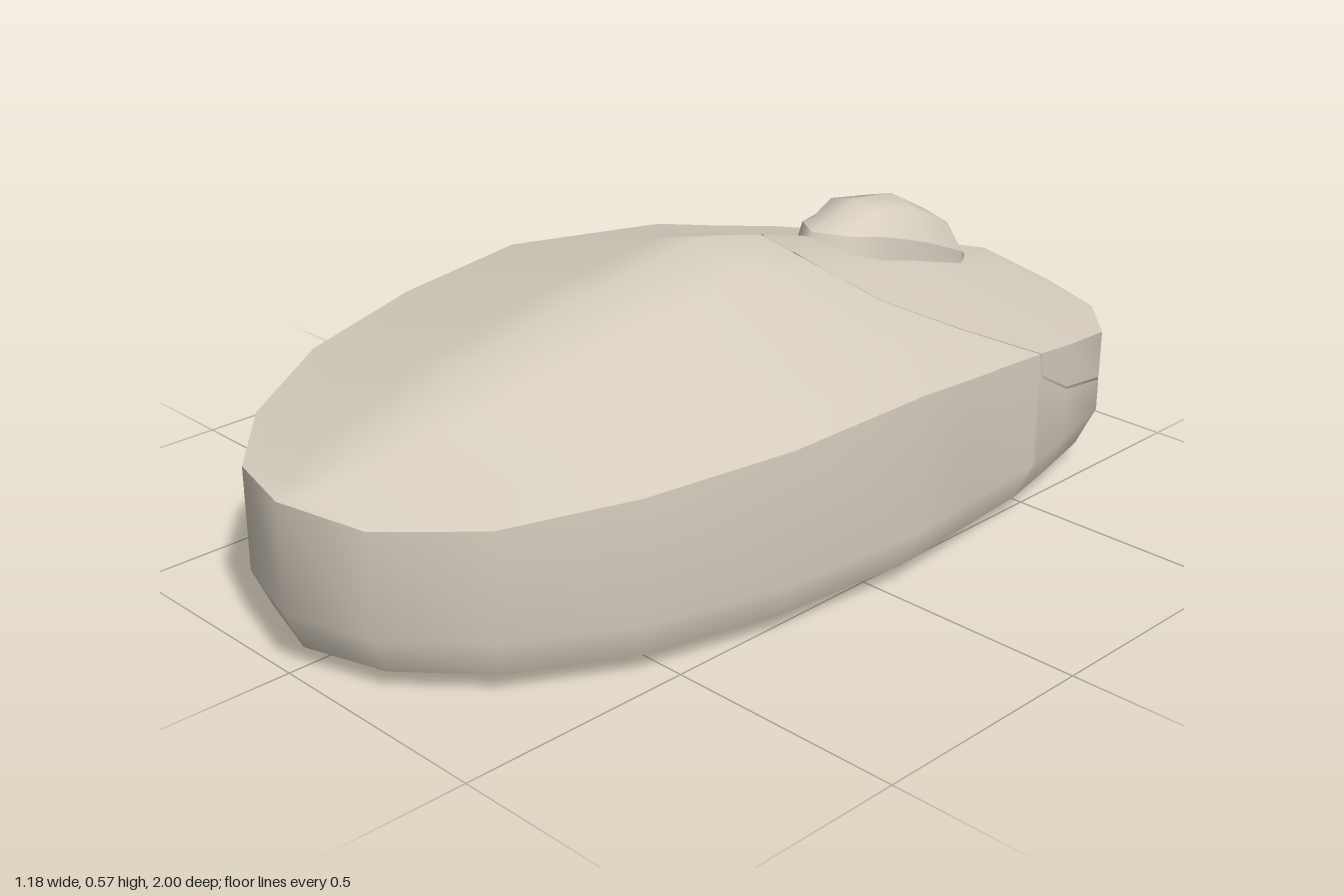
import * as THREE from 'three';
import { mergeVertices } from 'three/addons/utils/BufferGeometryUtils.js';

// Stations along the body: z, half width, rim height, ridge height, side seam height
const S = [
  [1, 0, 0.345, 0.345], [0.945, 0.185, 0.333, 0.362], [0.8, 0.35, 0.342, 0.405],
  [0.57, 0.48, 0.37, 0.475], [0.27, 0.56, 0.39, 0.535], [-0.05, 0.59, 0.408, 0.575],
  [-0.23, 0.576, 0.388, 0.535], [-0.455, 0.557, 0.365, 0.47],
  [-0.461, 0.556, 0.364, 0.469, 0.345], [-0.475, 0.553, 0.362, 0.466, 0.305],
  [-0.6, 0.525, 0.335, 0.43, 0.235], [-0.78, 0.48, 0.3, 0.375, 0.19],
  [-0.925, 0.35, 0.284, 0.333, 0.18], [-0.985, 0.185, 0.286, 0.316, 0.177],
  [-1, 0, 0.305, 0.305, 0.175],
];
const GAP = 0.006;
const ACROSS = [-1, -0.75, -0.5, -0.25, 0, 0.25, 0.5, 0.75, 1];
const lerp = THREE.MathUtils.lerp;

// Smooth surface through rows of [x, y, z] points
function grid(rows) {
  const n = rows[0].length, index = [];
  for (let i = 0; i < rows.length - 1; i++) {
    for (let j = 0; j < n - 1; j++) {
      const a = i * n + j, c = a + n;
      index.push(a, a + 1, c, a + 1, c + 1, c);
    }
  }
  let g = new THREE.BufferGeometry();
  g.setAttribute('position', new THREE.Float32BufferAttribute(rows.flat(2), 3));
  g.setIndex(index);
  g = mergeVertices(g, 1e-4);
  g.computeVertexNormals();
  return g;
}

// Point on the peaked top, u from -1 to 1 across the width
function topPoint(u, z) {
  let i = 0;
  while (i < S.length - 2 && S[i + 1][0] > z) i++;
  const a = S[i], b = S[i + 1], t = (z - a[0]) / (b[0] - a[0]);
  const rim = lerp(a[2], b[2], t), ridge = lerp(a[3], b[3], t);
  return [u * lerp(a[1], b[1], t), lerp(ridge, rim, Math.abs(u)), z];
}
const topRow = (z) => ACROSS.map((u) => topPoint(u, z));

// Curved seam between the palm rest and the button panel
function seamRow(offset) {
  return ACROSS.map((u) => {
    const k = Math.abs(u);
    const z = k < 0.5 ? lerp(-0.225, -0.28, k * 2) : lerp(-0.28, -0.455, k * 2 - 1);
    return topPoint(u, z - offset);
  });
}

// Outline stations running round the body, each tagged with its side
const LOOP = [
  ...S.map((s) => [s, 1]),
  ...S.slice(0, -1).reverse().map((s) => [s, -1]),
];
const ring = (sx, sz, height) => LOOP.map(([s, m]) => [m * s[1] * sx, height(s), s[0] * sz]);
const inset = (d, y) => ring(1 - d / 0.59, 1 - d, () => y);

export function createModel() {
  const group = new THREE.Group();
  const material = new THREE.MeshStandardMaterial({ color: 0xd8cfc0, side: THREE.DoubleSide });
  const add = (name, rows, parent = group) => {
    const mesh = new THREE.Mesh(grid(rows), material);
    mesh.name = name;
    parent.add(mesh);
  };

  // Hollow lower shell, open in the middle of the underside
  add('baseRim', [ring(0.69, 0.675, () => 0), inset(0.12, 0), inset(0.035, 0.04)]);
  add('sideWall', [
    inset(0.035, 0.04), inset(0, 0.12),
    ring(1, 1, (s) => s[4] ?? s[2]),
  ]);

  // Palm rest
  add('palmRest', [...S.slice(0, 6).map((s) => topRow(s[0])), seamRow(0)]);

  // Button panel: top face and the skirt that wraps the end
  const buttons = new THREE.Group();
  buttons.name = 'buttonPanel';
  group.add(buttons);
  add('buttonTop', [seamRow(GAP), ...S.slice(10).map((s) => topRow(s[0]))], buttons);
  const wrap = LOOP.filter(([s]) => s[4] !== undefined);
  add('buttonSkirt', [
    wrap.map(([s, m]) => [m * s[1], s[4] + GAP, s[0]]),
    wrap.map(([s, m]) => [m * s[1], s[2], s[0]]),
  ], buttons);

  // Scroll wheel: z, half width, edge height, crown height
  const wheelStations = [
    [-0.385, 0, 0.502, 0.502], [-0.43, 0.07, 0.498, 0.515], [-0.515, 0.108, 0.485, 0.545],
    [-0.64, 0.108, 0.442, 0.53], [-0.76, 0.108, 0.392, 0.465],
    [-0.82, 0.07, 0.362, 0.385], [-0.85, 0, 0.347, 0.347],
  ];
  const wheel = new THREE.Group();
  wheel.name = 'scrollWheel';
  group.add(wheel);
  add('wheelCrown', wheelStations.map(([z, w, edge, top]) =>
    [-1, -0.6, 0, 0.6, 1].map((u) => [u * w, lerp(top, edge, Math.abs(u) ** 3), z])), wheel);
  const wheelLoop = [
    ...wheelStations.map(([z, w, e]) => [w, e, z]),
    ...wheelStations.slice(0, -1).reverse().map(([z, w, e]) => [-w, e, z]),
  ];
  // The side leans outwards at the palm end
  add('wheelSide', [
    wheelLoop.map(([x, y, z]) => [x, y - 0.09, z > -0.55 ? z + 0.04 : z]), wheelLoop,
  ], wheel);

  return group;
}
